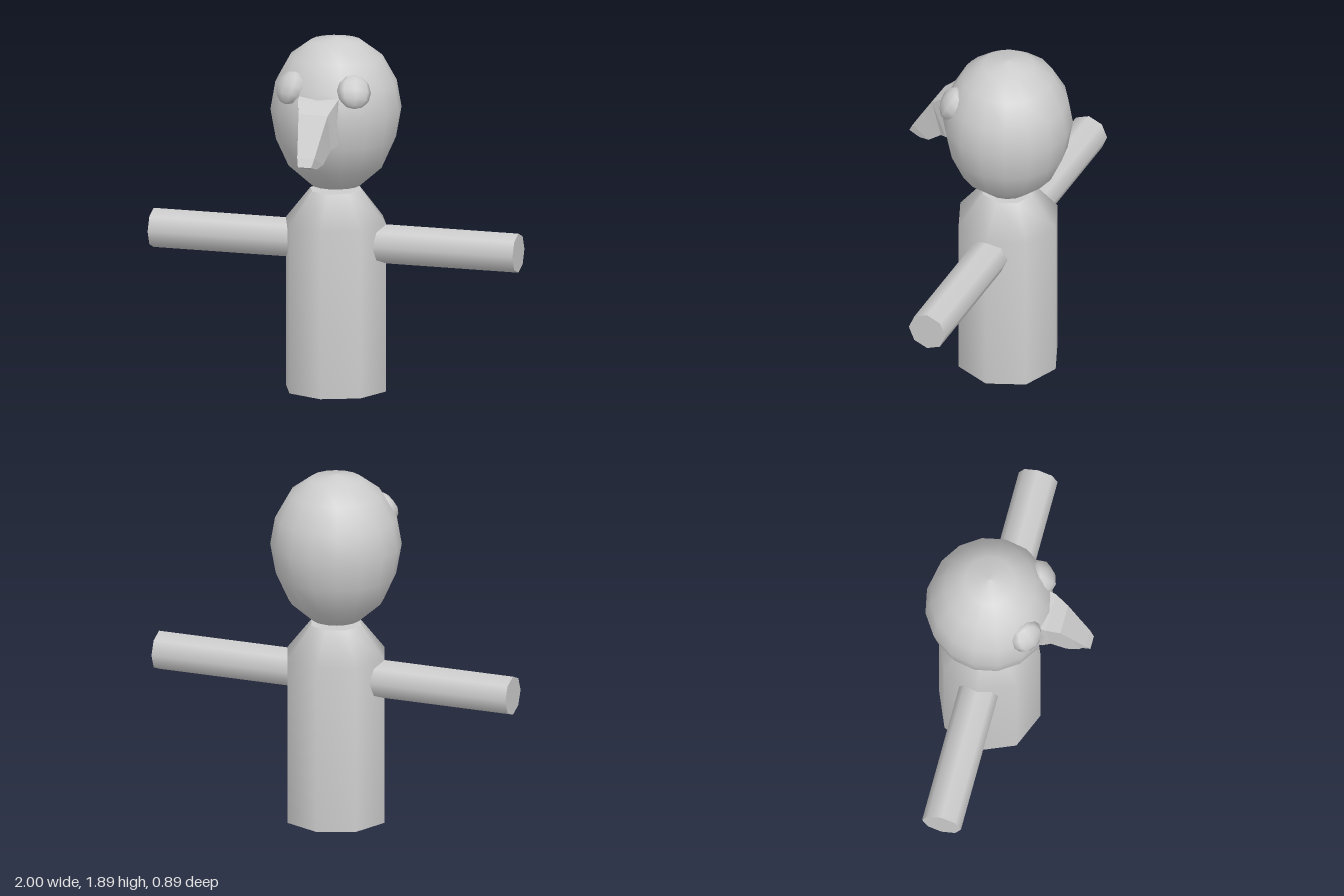
import * as THREE from 'three';

const grey = new THREE.MeshStandardMaterial({ color: 0xcccccc, side: THREE.DoubleSide });
grey.name = 'plain grey';

const AXIS_Z = -0.105; // depth of the body's centre line

function part(name, geometry, parent) {
  const mesh = new THREE.Mesh(geometry, grey);
  mesh.name = name;
  parent.add(mesh);
  return mesh;
}

const lathe = (points, sides) =>
  new THREE.LatheGeometry(points.map(([r, y]) => new THREE.Vector2(r, y)), sides);

// Skin a closed tube through equal-length rings of points, with faceted sides
function loft(rings) {
  const n = rings[0].length;
  const position = [];
  const tri = (a, b, c) => position.push(...a, ...b, ...c);
  for (let i = 0; i < rings.length - 1; i++) {
    for (let j = 0; j < n; j++) {
      const k = (j + 1) % n;
      const [a, b, c, d] = [rings[i][j], rings[i][k], rings[i + 1][k], rings[i + 1][j]];
      tri(a, b, c);
      tri(a, c, d);
    }
  }
  const tip = rings[rings.length - 1];
  for (let j = 1; j < n - 1; j++) tri(tip[0], tip[j], tip[j + 1]);
  const geometry = new THREE.BufferGeometry();
  geometry.setAttribute('position', new THREE.Float32BufferAttribute(position, 3));
  geometry.computeVertexNormals();
  return geometry;
}

export function createModel() {
  const model = new THREE.Group();
  model.name = 'birdFigure';

  // Octagonal body, open underneath, tapering to the neck
  part('body', lathe([[0.275, 0], [0.275, 0.9], [0.14, 1.07]], 8), model).position.z = AXIS_Z;
  const neck = part('neckTop', new THREE.CircleGeometry(0.14, 8).rotateX(-Math.PI / 2), model);
  neck.position.set(0, 1.07, AXIS_Z);

  // Egg-shaped head, narrower at the chin
  const head = part('head', lathe([
    [0, 1.075], [0.13, 1.095], [0.25, 1.2], [0.316, 1.345], [0.345, 1.505],
    [0.32, 1.65], [0.245, 1.785], [0.135, 1.866], [0, 1.89],
  ], 16), model);
  head.position.z = AXIS_Z;
  head.scale.z = 0.985;

  // Straight arms and flattened eyes on both sides
  for (const [side, s] of [['left', 1], ['right', -1]]) {
    const arm = part(side + 'Arm', new THREE.CylinderGeometry(0.105, 0.105, 0.8, 8), model);
    arm.rotation.z = -s * Math.PI / 2;
    arm.position.set(s * 0.6, 0.793, AXIS_Z);

    const eye = part(side + 'Eye', new THREE.SphereGeometry(1, 8, 6), model);
    eye.scale.set(0.092, 0.092, 0.053);
    eye.position.set(s * 0.175, 1.655, 0.14);
    eye.quaternion.setFromUnitVectors(
      new THREE.Vector3(0, 0, 1), new THREE.Vector3(s * 0.5, 0.46, 0.75).normalize());
  }

  // Drooping beak: half width, then height and depth of upper and lower edges
  const sections = [
    [0.115, 1.655, 0.13, 1.385, 0.13],
    [0.105, 1.61, 0.225, 1.375, 0.205],
    [0.08, 1.555, 0.297, 1.36, 0.245],
    [0.063, 1.455, 0.36, 1.295, 0.325],
    [0.047, 1.35, 0.425, 1.285, 0.385],
    [0.036, 1.305, 0.448, 1.287, 0.4],
  ];
  part('beak', loft(sections.map(([w, ty, tz, by, bz]) => [
    [w, ty, tz], [-w, ty, tz], [-w, by, bz], [w, by, bz],
  ])), model);

  return model;
}
